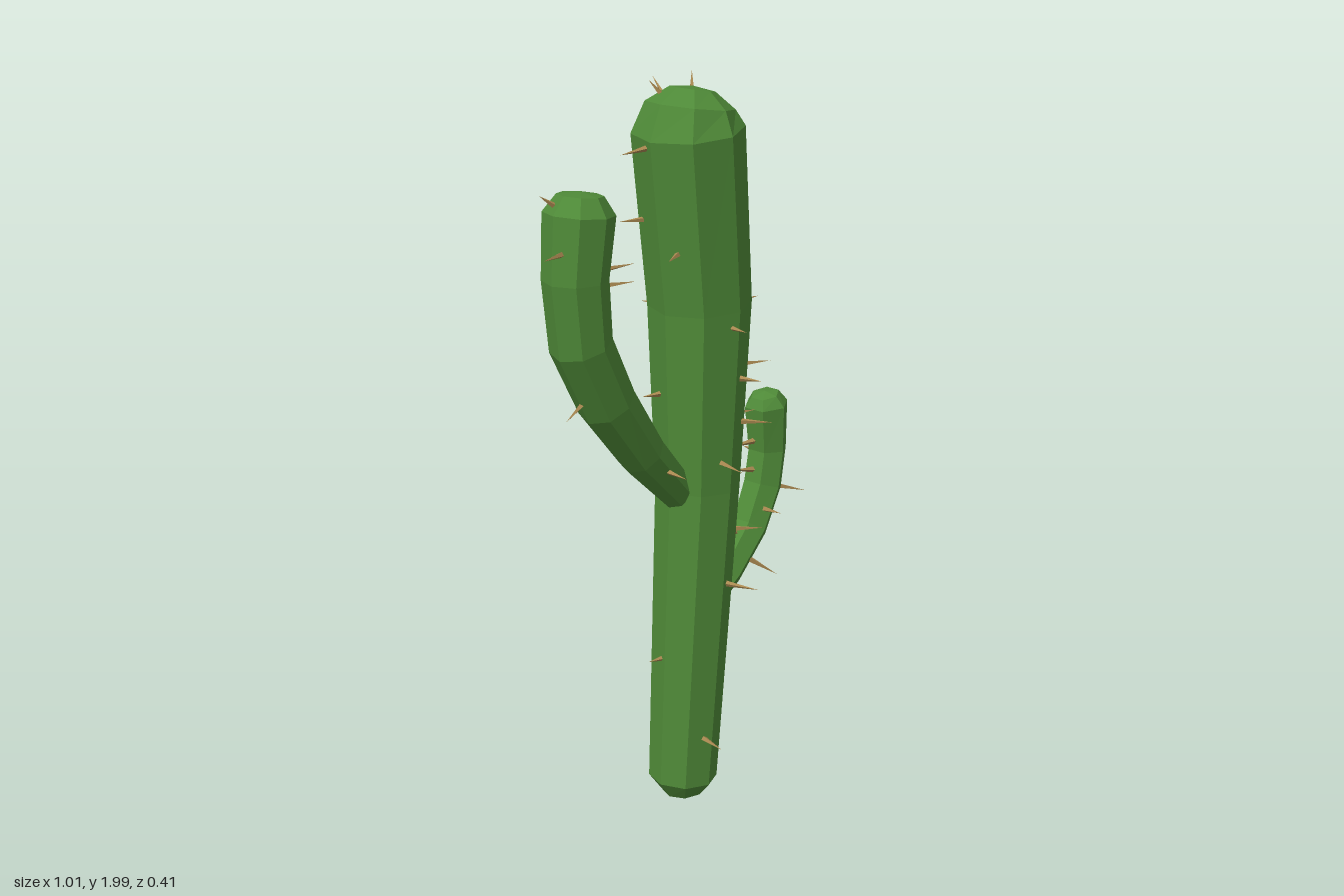
import * as THREE from 'three';

const green = new THREE.MeshStandardMaterial({ color: 0x4f8a38, flatShading: true });
const tan = new THREE.MeshStandardMaterial({ color: 0xa98850, flatShading: true });
const Z = 0.01; // all limbs lie in one plane

// Frame of a limb at ring i: centre, radius and the in-plane side direction
function frame(rings, i) {
  const a = rings[Math.max(i - 1, 0)], b = rings[Math.min(i + 1, rings.length - 1)];
  const t = new THREE.Vector2(b[0] - a[0], b[1] - a[1]).normalize();
  const [x, y, r] = rings[i];
  return { c: new THREE.Vector3(x, y, Z), r, side: new THREE.Vector3(t.y, -t.x, 0) };
}

const outward = (side, a) =>
  side.clone().multiplyScalar(Math.cos(a)).add(new THREE.Vector3(0, 0, Math.sin(a)));

// Faceted limb: polygon rings [x, y, radius] joined up and closed at both ends
function limb(name, rings, sides, phase) {
  const pos = [], idx = [], n = rings.length;
  for (let i = 0; i < n; i++) {
    const f = frame(rings, i);
    for (let j = 0; j < sides; j++) {
      const p = outward(f.side, phase + (j / sides) * Math.PI * 2).multiplyScalar(f.r).add(f.c);
      pos.push(p.x, p.y, p.z);
    }
  }
  const bottom = n * sides, top = bottom + 1;
  pos.push(rings[0][0], rings[0][1] - 0.005, Z);
  pos.push(rings[n - 1][0], rings[n - 1][1] + 0.008, Z);
  for (let j = 0; j < sides; j++) {
    const k = (j + 1) % sides, last = (n - 1) * sides;
    for (let i = 0; i < n - 1; i++) {
      const a = i * sides + j, b = i * sides + k;
      idx.push(a, a + sides, b, b, a + sides, b + sides);
    }
    idx.push(bottom, j, k, top, last + k, last + j);
  }
  const g = new THREE.BufferGeometry();
  g.setAttribute('position', new THREE.Float32BufferAttribute(pos, 3));
  g.setIndex(idx);
  g.computeVertexNormals();
  const mesh = new THREE.Mesh(g, green);
  mesh.name = name;
  return mesh;
}

// Thin spines set on a limb: [height, angle around limb in degrees, length, upward tilt]
function spines(name, rings, list) {
  const group = new THREE.Group();
  group.name = name;
  for (const [y, deg, len, lift = 0] of list) {
    let i = 0;
    while (i < rings.length - 2 && rings[i + 1][1] < y) i++;
    const t = THREE.MathUtils.clamp((y - rings[i][1]) / (rings[i + 1][1] - rings[i][1]), 0, 1);
    const f = frame(rings, i), g = frame(rings, i + 1);
    const dir = outward(f.side.lerp(g.side, t).normalize(), THREE.MathUtils.degToRad(deg));
    const base = f.c.lerp(g.c, t).addScaledVector(dir, THREE.MathUtils.lerp(f.r, g.r, t) * 0.9);
    dir.y += lift;
    dir.normalize();
    const spine = new THREE.Mesh(new THREE.ConeGeometry(0.009, len + 0.015, 4), tan);
    spine.name = 'spine';
    spine.quaternion.setFromUnitVectors(new THREE.Vector3(0, 1, 0), dir);
    spine.position.copy(base).addScaledVector(dir, len / 2);
    group.add(spine);
  }
  return group;
}

export function createModel() {
  const model = new THREE.Group();
  model.name = 'cactus';

  // Trunk, leaning slightly and widening toward a domed top
  const trunk = [
    [0.055, 0.006, 0.058], [0.053, 0.05, 0.094], [0.11, 0.9, 0.113], [0.115, 1.4, 0.136],
    [0.067, 1.86, 0.145], [0.075, 1.92, 0.115], [0.083, 1.96, 0.058],
  ];
  model.add(limb('trunk', trunk, 8, 0));
  model.add(spines('trunkSpines', trunk, [
    [0.195, 105, 0.08], [0.33, 300, 0.05], [0.41, -30, 0.1], [0.42, 190, 0.04],
    [0.635, 75, 0.09], [0.66, 285, 0.05], [0.77, 40, 0.08], [0.93, 290, 0.07],
    [0.96, 325, 0.08], [0.99, 105, 0.09], [1.08, 55, 0.08], [1.08, 20, 0.06],
    [1.08, 275, 0.06], [1.17, 200, 0.05], [1.21, 75, 0.06], [1.22, 30, 0.08],
    [1.21, 300, 0.09], [1.31, 315, 0.07], [1.36, 98, 0.05], [1.38, 15, 0.06],
    [1.38, 260, 0.05], [1.52, 285, 0.09], [1.57, 160, 0.06], [1.6, 350, 0.03],
    [1.64, 215, 0.06], [1.84, 190, 0.08], [1.82, 310, 0.06],
    [1.91, 290, 0.1, 0.7], [1.95, 320, 0.05, 2], [1.94, 220, 0.04, 1],
  ]));

  // Tall arm on the right
  const tallArm = [
    [0.03, 0.9, 0.05], [-0.115, 1.05, 0.064], [-0.245, 1.22, 0.076], [-0.335, 1.39, 0.08],
    [-0.352, 1.56, 0.083], [-0.335, 1.72, 0.09], [-0.33, 1.765, 0.058],
  ];
  model.add(limb('tallArm', tallArm, 8, 0));
  model.add(spines('tallArmSpines', tallArm, [
    [1.0, 95, 0.06], [1.1, 280, 0.06], [1.27, 180, 0.06], [1.4, 300, 0.08],
    [1.535, 30, 0.07], [1.57, 10, 0.1], [1.6, 290, 0.09], [1.635, 165, 0.08],
    [1.74, 200, 0.04, 0.6],
  ]));

  // Short arm on the left
  const shortArm = [
    [0.16, 0.55, 0.04], [0.235, 0.605, 0.047], [0.335, 0.71, 0.053], [0.39, 0.82, 0.056],
    [0.408, 0.92, 0.055], [0.4, 1.05, 0.062], [0.394, 1.08, 0.04],
  ];
  model.add(limb('shortArm', shortArm, 6, Math.PI / 6));
  model.add(spines('shortArmSpines', shortArm, [
    [0.65, 40, 0.08], [0.68, 180, 0.06], [0.76, 110, 0.07], [0.82, 25, 0.08],
    [0.86, 185, 0.07], [0.95, 190, 0.08], [0.9, 280, 0.04],
  ]));
  return model;
}
